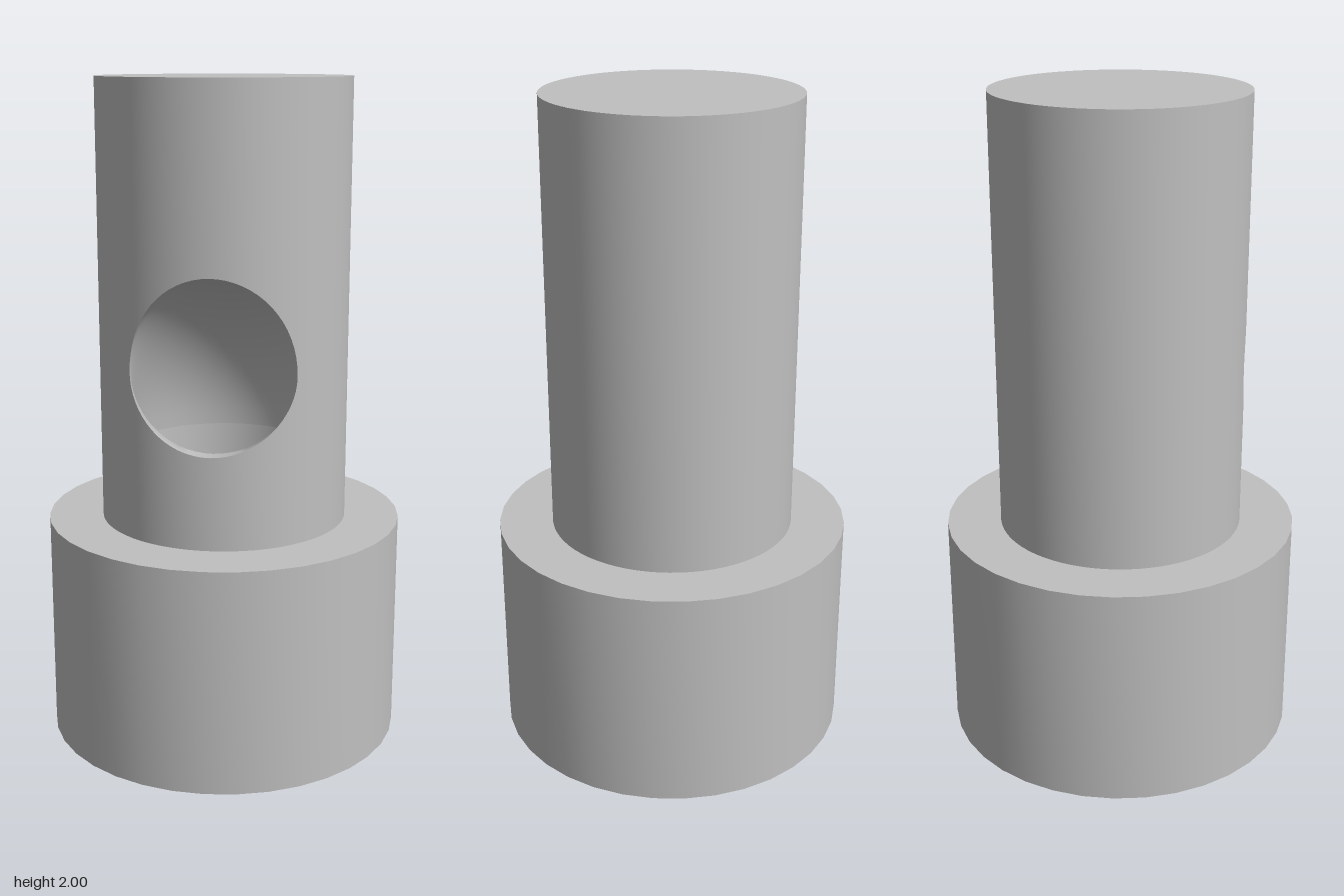
import * as THREE from 'three';
import { toCreasedNormals } from 'three/addons/utils/BufferGeometryUtils.js';

const SHAFT_R = 0.375, BASE_R = 0.54, BASE_TOP = 0.68, TOP = 2;
const BORE_R = 0.297, BORE_TOP = 0.88, BEND_R = 0.33;
const WINDOW = { half: 0.24, y: 1.18, up: 0.287, down: 0.222 };
const HALF = 32; // samples across the window

// Surface from point(row, col), smooth except at sharp edges
function grid(rows, cols, point) {
  const pos = [], idx = [];
  for (let i = 0; i <= rows; i++) {
    for (let j = 0; j <= cols; j++) pos.push(...point(i, j));
  }
  for (let i = 0; i < rows; i++) {
    for (let j = 0; j < cols; j++) {
      const a = i * (cols + 1) + j, d = a + cols + 1;
      idx.push(a, a + 1, d, a + 1, d + 1, d);
    }
  }
  const g = new THREE.BufferGeometry();
  g.setAttribute('position', new THREE.Float32BufferAttribute(pos, 3));
  g.setIndex(idx);
  return toCreasedNormals(g, Math.PI / 5);
}

function lathe(points, segments) {
  const g = new THREE.LatheGeometry(points.map(p => new THREE.Vector2(...p)), segments);
  return toCreasedNormals(g, Math.PI / 5);
}

// Egg-shaped window outline lying on the shaft wall
function windowPoint(psi) {
  const c = Math.cos(psi), x = WINDOW.half * Math.sin(psi);
  const y = WINDOW.y + (c > 0 ? WINDOW.up : WINDOW.down) * c;
  return [x, y, Math.sqrt(SHAFT_R ** 2 - x ** 2)];
}

export function createModel() {
  const group = new THREE.Group();
  const grey = new THREE.MeshStandardMaterial({ color: 0xc0c0c0 });
  grey.name = 'grey';
  const add = (name, geometry) => {
    const mesh = new THREE.Mesh(geometry, grey);
    mesh.name = name;
    group.add(mesh);
    return mesh;
  };

  // Wide collar with its underside and shoulder
  add('baseCollar', lathe([[BORE_R, 0], [BASE_R, 0], [BASE_R, BASE_TOP], [SHAFT_R - 0.005, BASE_TOP]], 36));

  // Bore from below, with a ring groove
  add('bore', lathe([
    [BORE_R, BORE_TOP], [BORE_R, 0.197], [0.335, 0.197],
    [0.335, 0.126], [BORE_R, 0.126], [BORE_R, 0],
  ], HALF * 2));

  // Shaft wall: below the window, above it, and around the back
  const side = j => -Math.PI / 2 + (j / HALF) * Math.PI;
  add('shaftWallBelowWindow', grid(1, HALF, (i, j) => {
    const [x, y, z] = windowPoint(Math.PI - side(j));
    return [x, i ? y : BASE_TOP, z];
  }));
  add('shaftWallAboveWindow', grid(1, HALF, (i, j) => {
    const [x, y, z] = windowPoint(side(j));
    return [x, i ? TOP : y, z];
  }));
  const edge = Math.asin(WINDOW.half / SHAFT_R);
  add('shaftWallBack', grid(1, 56, (i, j) => {
    const a = edge + (j / 56) * 2 * (Math.PI - edge);
    return [SHAFT_R * Math.sin(a), i ? TOP : BASE_TOP, SHAFT_R * Math.cos(a)];
  }));

  // Flat closed top
  const cap = add('shaftTop', new THREE.CircleGeometry(SHAFT_R, 72));
  cap.rotation.x = -Math.PI / 2;
  cap.position.y = TOP;

  // Elbow duct bending from the bore to the window
  const steps = 14;
  add('elbowDuct', grid(steps, HALF * 2, (i, j) => {
    const psi = (j / HALF) * Math.PI;
    if (i === steps) return windowPoint(psi);
    const t = i / (steps - 1), phi = t * THREE.MathUtils.degToRad(70);
    const rx = THREE.MathUtils.lerp(BORE_R, 0.25, t);
    const r = BEND_R + THREE.MathUtils.lerp(BORE_R, 0.255, t) * Math.cos(psi);
    return [rx * Math.sin(psi), BORE_TOP + r * Math.sin(phi), BEND_R - r * Math.cos(phi)];
  }));

  return group;
}
